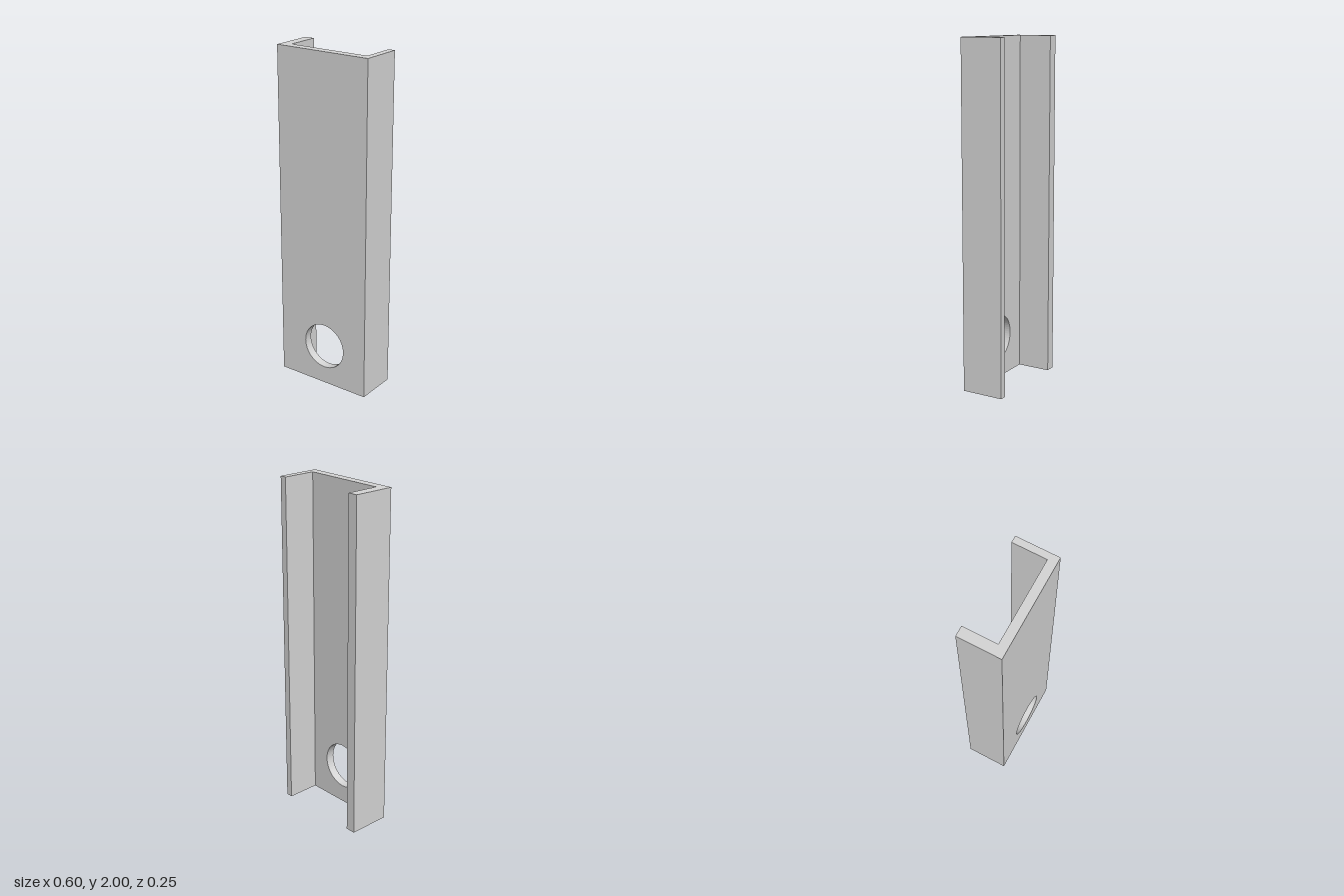
import * as THREE from 'three';

const WIDTH = 0.6, HEIGHT = 2, DEPTH = 0.25, WEB = 0.052;

export function createModel() {
  const group = new THREE.Group();
  group.name = 'channelBracket';
  const grey = new THREE.MeshStandardMaterial({ color: 0xd5d5d5 });
  grey.name = 'light grey metal';

  const add = (name, geometry, x, y, z) => {
    const mesh = new THREE.Mesh(geometry, grey);
    mesh.name = name;
    mesh.position.set(x, y, z);
    group.add(mesh);
  };

  // Front web with a round hole, centred between the flanges
  const outline = new THREE.Shape([
    new THREE.Vector2(-WIDTH / 2, 0),
    new THREE.Vector2(WIDTH / 2, 0),
    new THREE.Vector2(WIDTH / 2, HEIGHT),
    new THREE.Vector2(-WIDTH / 2, HEIGHT),
  ]);
  outline.holes.push(new THREE.Path().absarc(0.011, 0.243, 0.138, 0, Math.PI * 2, true));
  const web = new THREE.ExtrudeGeometry(outline, { depth: WEB, bevelEnabled: false, curveSegments: 32 });
  add('frontWeb', web, 0, 0, DEPTH / 2 - WEB);

  // Side flanges behind the web: the right one is thicker
  const flangeDepth = DEPTH - WEB;
  for (const [name, side, thickness] of [['rightFlange', -1, 0.06], ['leftFlange', 1, 0.04]]) {
    add(name, new THREE.BoxGeometry(thickness, HEIGHT, flangeDepth),
      side * (WIDTH - thickness) / 2, HEIGHT / 2, -WEB / 2);
  }
  return group;
}
